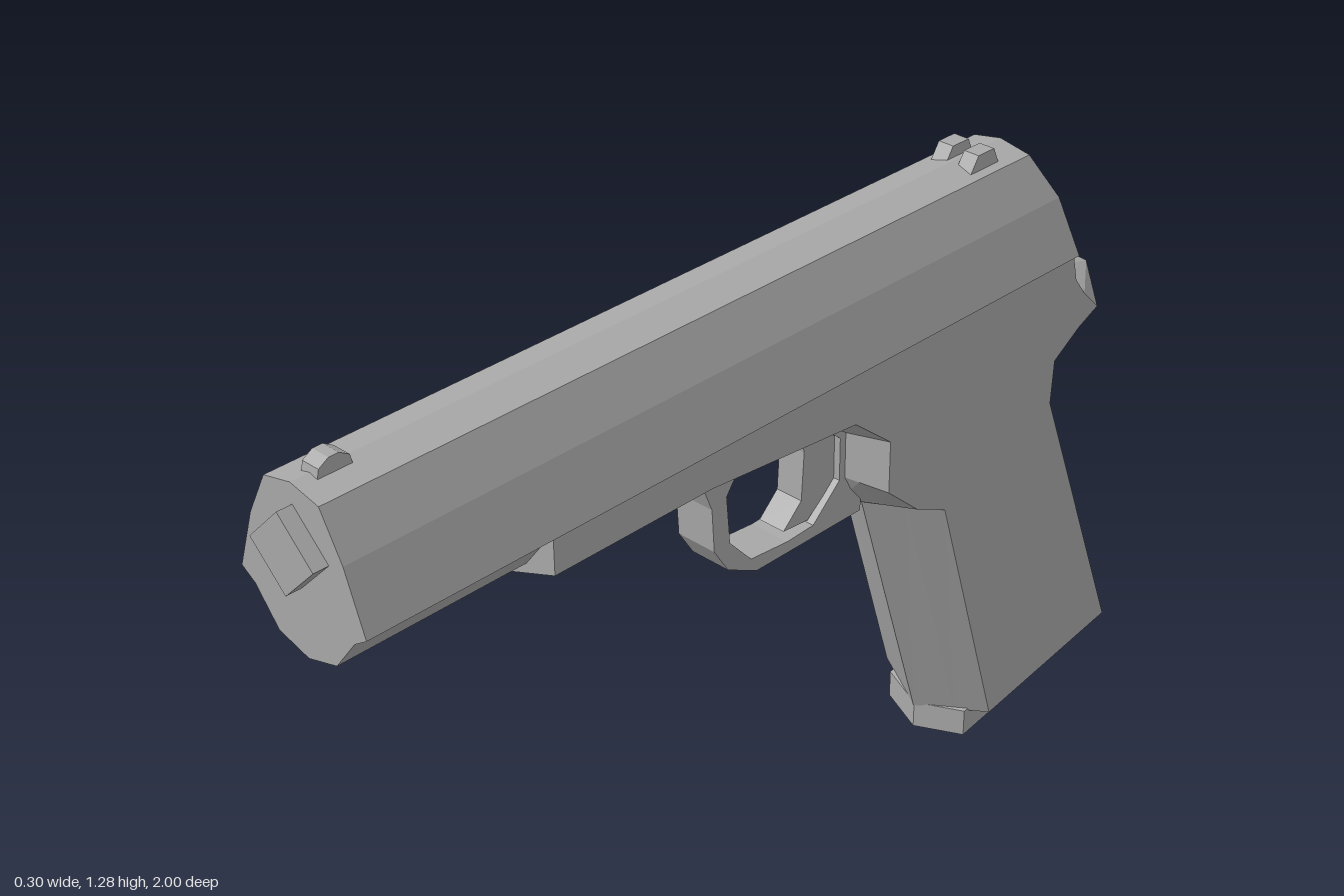
import * as THREE from 'three';

const metal = new THREE.MeshStandardMaterial({ color: 0xa9a9a9 });
metal.name = 'grey metal';

// Collects flat faces; "both" also adds the copy mirrored in x
class Faces {
  constructor() { this.p = []; }
  tri(a, b, c) { this.p.push(...a, ...b, ...c); }
  quad(a, b, c, d) { this.tri(a, b, c); this.tri(a, c, d); }
  both(...pts) {
    const m = pts.map(([x, y, z]) => [-x, y, z]).reverse();
    for (const q of [pts, m]) q.length === 3 ? this.tri(...q) : this.quad(...q);
  }
  geometry() {
    const g = new THREE.BufferGeometry();
    g.setAttribute('position', new THREE.Float32BufferAttribute(this.p, 3));
    g.computeVertexNormals();
    return g;
  }
}

const toShape = pts => new THREE.Shape(pts.map(([z, y]) => new THREE.Vector2(-z, y)));

// Side outline given as [z, y], extruded across x
function sidePlate(pts, width, x = 0, hole) {
  const shape = toShape(pts);
  if (hole) shape.holes.push(toShape(hole));
  return new THREE.ExtrudeGeometry(shape, { depth: width, bevelEnabled: false })
    .rotateY(Math.PI / 2).translate(x - width / 2, 0, 0);
}

// Faceted slide with a sloping rear end: [x, y, rear z]
function slideGeometry() {
  const half = [[0, 1.26, -0.69], [0.065, 1.245, -0.695], [0.11, 1.16, -0.735], [0.15, 1.045, -0.757],
    [0.12, 1.025, -0.757], [0.07, 0.96, -0.757], [0, 0.94, -0.757]];
  const f = new Faces(), front = 0.97;
  for (let i = 0; i < half.length - 1; i++) {
    const [x0, y0, r0] = half[i], [x1, y1, r1] = half[i + 1];
    f.both([x0, y0, front], [x1, y1, front], [x1, y1, r1], [x0, y0, r0]);
    f.quad([x0, y0, front], [-x0, y0, front], [-x1, y1, front], [x1, y1, front]);
    f.quad([-x0, y0, r0], [x0, y0, r0], [x1, y1, r1], [-x1, y1, r1]);
  }
  return f.geometry();
}

// Frame and grip: flat sides joined to a raised centre ridge, outlines as [z, y]
function frameGeometry() {
  const centre = [[0.58, 1.04], [0.58, 0.915], [0.167, 0.918], [-0.127, 0.904], [-0.218, 0.84], [-0.218, 0.75],
    [-0.261, 0.668], [-0.326, 0.63], [-0.508, 0.054], [-1.0, 0.134], [-0.754, 0.738], [-0.76, 0.83],
    [-0.824, 0.877], [-0.91, 0.912], [-0.893, 0.963], [-0.79, 0.99], [-0.757, 1.04]];
  const side = [[0.58, 1.04], [0.58, 0.967], [0.22, 0.967], [-0.143, 0.936], [-0.24, 0.858], [-0.24, 0.75],
    [-0.325, 0.675], [-0.406, 0.637], [-0.583, 0.066], [-0.955, 0.127], [-0.715, 0.738], [-0.72, 0.83],
    [-0.79, 0.875], [-0.845, 0.9], [-0.8, 0.945], [-0.77, 0.985], [-0.757, 1.04]];
  const n = centre.length, w = 0.138, m = 0.075;
  const S = side.map(([z, y]) => [w, y, z]);
  const C = centre.map(([z, y]) => [0, y, z]);
  // the rear tang stays broad, elsewhere the band is straight
  const M = centre.map(([z, y], i) => {
    const t = i === 13 || i === 14 ? 0.08 : m / w;
    return [m, y + (side[i][1] - y) * t, z + (side[i][0] - z) * t];
  });
  const f = new Faces();
  for (let i = 0; i < n; i++) {
    const j = (i + 1) % n;
    f.both(S[i], M[i], M[j], S[j]);
    f.both(M[i], C[i], C[j], M[j]);
  }
  const outline = side.map(([z, y]) => new THREE.Vector2(-z, y));
  for (const [a, b, c] of THREE.ShapeUtils.triangulateShape(outline, [])) f.both(S[a], S[b], S[c]);
  return f.geometry();
}

// Base plate below the grip, sheared to follow its sloping end
function basePlateGeometry() {
  const pts = [[0, -0.51], [0.1, -0.55], [0.1, -0.945], [0, -0.965], [-0.1, -0.945], [-0.1, -0.55]];
  const shape = new THREE.Shape(pts.map(([x, z]) => new THREE.Vector2(x, -z)));
  const g = new THREE.ExtrudeGeometry(shape, { depth: 0.06, bevelEnabled: false }).rotateX(-Math.PI / 2);
  const p = g.attributes.position;
  for (let i = 0; i < p.count; i++) p.setY(i, p.getY(i) + (-0.51 - p.getZ(i)) * 0.163);
  g.computeVertexNormals();
  return g;
}

export function createModel() {
  const group = new THREE.Group();
  const add = (name, geometry) => {
    const mesh = new THREE.Mesh(geometry, metal);
    mesh.name = name;
    group.add(mesh);
  };

  add('slide', slideGeometry());
  add('frameAndGrip', frameGeometry());
  add('gripBasePlate', basePlateGeometry());

  // Square muzzle standing on its corner
  add('muzzle', new THREE.BoxGeometry(0.107, 0.107, 0.06).rotateZ(Math.PI / 4).translate(0, 1.146, 0.97));

  add('triggerGuard', sidePlate(
    [[0.19, 0.93], [0.145, 0.89], [0.125, 0.84], [0.12, 0.75], [0.085, 0.695], [0.01, 0.658], [-0.27, 0.658], [-0.29, 0.93]],
    0.088, 0,
    [[0.01, 0.905], [0.06, 0.89], [0.088, 0.85], [0.08, 0.75], [0.025, 0.69], [-0.07, 0.682],
      [-0.14, 0.685], [-0.21, 0.75], [-0.21, 0.84], [-0.13, 0.905]]));

  add('trigger', sidePlate(
    [[-0.11, 0.93], [-0.128, 0.84], [-0.122, 0.74], [-0.075, 0.695], [-0.14, 0.69], [-0.22, 0.755], [-0.24, 0.92]], 0.06));

  // Sights
  add('frontSight', sidePlate(
    [[0.935, 1.25], [0.93, 1.272], [0.91, 1.284], [0.89, 1.284], [0.87, 1.272], [0.865, 1.25]], 0.038));
  for (const s of [1, -1]) {
    add(s > 0 ? 'rearSightLeft' : 'rearSightRight', sidePlate(
      [[-0.545, 1.245], [-0.568, 1.28], [-0.612, 1.28], [-0.628, 1.245]], 0.034, s * 0.03));
  }
  return group;
}
